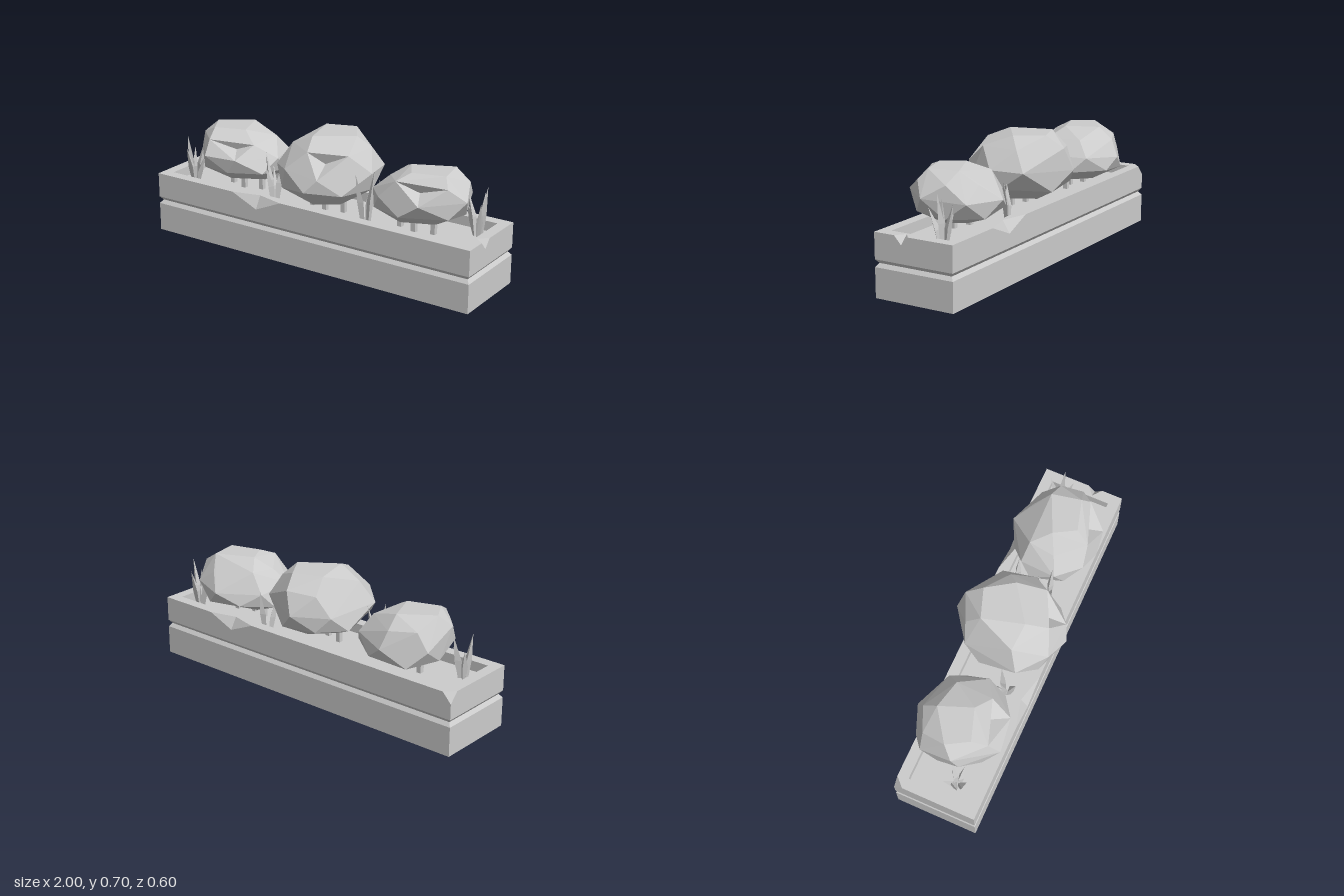
import * as THREE from 'three';
import { ConvexGeometry } from 'three/addons/geometries/ConvexGeometry.js';

const TOP = 0.34, SOIL = 0.285;
const material = new THREE.MeshStandardMaterial({ color: 0xcccccc, flatShading: true });

function addMesh(parent, geometry, name) {
  const mesh = new THREE.Mesh(geometry, material);
  mesh.name = name;
  parent.add(mesh);
}

function addGroup(parent, name) {
  const group = new THREE.Group();
  group.name = name;
  parent.add(group);
  return group;
}

// Flat-faced geometry from polygons, each fanned from its first corner
function fromPolygons(polygons) {
  const points = [];
  for (const p of polygons)
    for (let i = 1; i < p.length - 1; i++) points.push(p[0], p[i], p[i + 1]);
  const geometry = new THREE.BufferGeometry().setFromPoints(points);
  geometry.computeVertexNormals();
  return geometry;
}

// Rectangle corners at one height, counter-clockwise from above
const ring = (y, inset) => [[-1, 1], [1, 1], [1, -1], [-1, -1]].map(([x, z]) =>
  new THREE.Vector3(x * (1 - inset), y, z * (0.23 - inset) - 0.01));
const band = (low, high) => low.map((p, i) => [p, low[(i + 1) % 4], high[(i + 1) % 4], high[i]]);

function addPlanter(model) {
  const planter = addGroup(model, 'planter');
  const low = ring(0.2, 0), high = ring(TOP, 0);
  const levels = [ring(0, 0), ring(0.16, 0), ring(0.18, 0.016), low];
  const faces = [ring(0, 0).reverse()];
  for (let i = 0; i < 3; i++) faces.push(...band(levels[i], levels[i + 1]));

  // Broken corner at the back
  const corner = high[3];
  const cornerLow = corner.clone().setY(0.285);
  const cornerX = corner.clone().setX(-0.95), cornerZ = corner.clone().setZ(-0.19);

  // Chips in the front, left and back rim: place along the side, half width, depth, inset
  const chips = [[0.345, 0.16, 0.07, 0.04], [0.35, 0.09, 0.045, 0.05], [0.255, 0.078, 0.065, 0.04]];
  const outline = [];
  chips.forEach(([place, half, depth, inset], i) => {
    const next = high[i + 1];
    const span = half / (i === 1 ? 1 : 2);
    const start = high[i].clone().lerp(next, place - (i === 2 ? half : span));
    const end = high[i].clone().lerp(next, place + (i === 2 ? half : span));
    const mid = high[i].clone().lerp(next, place);
    const bottom = mid.clone().setY(TOP - depth);
    const inward = high[(i + 3) % 4].clone().sub(high[i]).setLength(inset).add(mid);
    const last = i === 2 ? [cornerLow, cornerX] : [next];
    faces.push([bottom, start, high[i], low[i], low[i + 1], ...last, end],
      [start, bottom, inward], [bottom, end, inward]);
    outline.push(high[i], start, inward, end);
  });
  outline.push(cornerX, cornerZ);
  faces.push([low[3], low[0], high[0], cornerZ, cornerLow], [cornerLow, cornerZ, cornerX]);

  // Inside walls, soil and rim top
  const inner = ring(TOP, 0.06), floor = ring(SOIL, 0.06);
  faces.push(...band(inner, floor));
  addMesh(planter, fromPolygons(faces), 'planterBox');
  addMesh(planter, fromPolygons([floor]), 'soil');
  const flat = (p) => new THREE.Vector2(p.x, -p.z);
  const shape = new THREE.Shape(outline.map(flat));
  shape.holes.push(new THREE.Path(inner.reverse().map(flat)));
  addMesh(planter, new THREE.ShapeGeometry(shape).rotateX(-Math.PI / 2).translate(0, TOP, 0), 'rim');
}

// Small seeded number source, 0 to 1
function seeded(seed) {
  let s = seed;
  return () => (s = (s * 16807) % 2147483647) / 2147483647;
}

// Faceted foliage: hull of uneven rings, with one face pushed in as a dent
function foliage({ x, z, rx, rz, height, topX, topZ, seed }) {
  const random = seeded(seed);
  const points = [];
  const rings = [[0, 0.42, 4], [0.24, 0.95, 7], [0.52, 1.03, 7], [0.82, 0.8, 6], [1, 0.5, 4]];
  rings.forEach(([level, radius, count], k) => {
    for (let i = 0; i < count; i++) {
      const angle = ((i + k * 0.5 + random() * 0.4) / count) * Math.PI * 2;
      const r = radius * (0.92 + random() * 0.12);
      const lift = k % 4 ? (random() - 0.5) * 0.1 + Math.sin(angle) * 0.05 : 0;
      points.push(new THREE.Vector3(
        x + Math.cos(angle) * r * rx + topX * level ** 2,
        TOP + (level + lift) * height,
        z + Math.sin(angle) * r * rz + topZ * level ** 2));
    }
  });
  const position = new ConvexGeometry(points).getAttribute('position');
  const faces = [];
  for (let i = 0; i < position.count; i += 3)
    faces.push([0, 1, 2].map((k) => new THREE.Vector3().fromBufferAttribute(position, i + k)));
  const middle = (f) => new THREE.Triangle(...f).getMidpoint(new THREE.Vector3());
  const target = new THREE.Vector3(x + rx * 0.3, TOP + height * 0.8, z + rz * 0.6);
  faces.sort((f, g) => middle(f).distanceTo(target) - middle(g).distanceTo(target));
  const [a, b, c] = faces.shift();
  const dent = middle([a, b, c]).lerp(new THREE.Vector3(x, TOP + height / 2, z), 0.25);
  return fromPolygons([...faces, [a, b, dent], [b, c, dent], [c, a, dent]]);
}

const BUSHES = [
  { name: 'rightBush', x: -0.555, z: -0.04, rx: 0.265, rz: 0.255, height: 0.29, topX: -0.08, topZ: 0, seed: 4211 },
  { name: 'middleBush', x: 0.02, z: 0, rx: 0.28, rz: 0.3, height: 0.36, topX: 0, topZ: -0.06, seed: 90533 },
  { name: 'leftBush', x: 0.575, z: 0, rx: 0.265, rz: 0.245, height: 0.29, topX: 0.08, topZ: 0, seed: 31777 },
];

// Pointed three-sided blade, widest below the middle
function blade(root, tip) {
  const points = [tip];
  for (const [along, lean, r] of [[0, 0, 0.012], [0.45, 0.3, 0.02]])
    for (let i = 0; i < 3; i++) {
      const angle = (i / 3) * Math.PI * 2 + tip.x * 9;
      const p = root.clone().lerp(tip, lean);
      p.y = root.y + (tip.y - root.y) * along;
      points.push(p.add(new THREE.Vector3(Math.cos(angle) * r, 0, Math.sin(angle) * r)));
    }
  return new ConvexGeometry(points);
}

// Grass tufts: x, z, number of blades, height of the tallest tip
const TUFTS = [[-0.86, 0.06, 5, 0.54], [-0.29, 0.08, 4, 0.55], [0.3, 0.07, 3, 0.58], [0.32, -0.13, 2, 0.5], [0.87, -0.1, 5, 0.56]];

export function createModel() {
  const model = new THREE.Group();
  model.name = 'planterWithBushes';
  addPlanter(model);

  for (const spec of BUSHES) {
    const bush = addGroup(model, spec.name);
    addMesh(bush, foliage(spec), 'foliage');
    for (let i = -1; i <= 1; i++)
      addMesh(bush, new THREE.BoxGeometry(0.026, 0.16, 0.026)
        .translate(spec.x + i * 0.1, SOIL + 0.07, spec.z + 0.04 - i * i * 0.03), 'stem');
  }

  for (const [x, z, count, top] of TUFTS) {
    const tuft = addGroup(model, 'grassTuft');
    for (let i = 0; i < count; i++) {
      const angle = i * 2.4 + (x < 0 ? Math.PI : 0);
      const out = new THREE.Vector3(Math.cos(angle), 0, Math.sin(angle));
      const root = new THREE.Vector3(x, SOIL - 0.01, z).addScaledVector(out, 0.015);
      const tip = new THREE.Vector3(x, top - i * 0.027, z).addScaledVector(out, 0.05 + i * 0.007);
      addMesh(tuft, blade(root, tip), 'grassBlade');
    }
  }
  return model;
}
